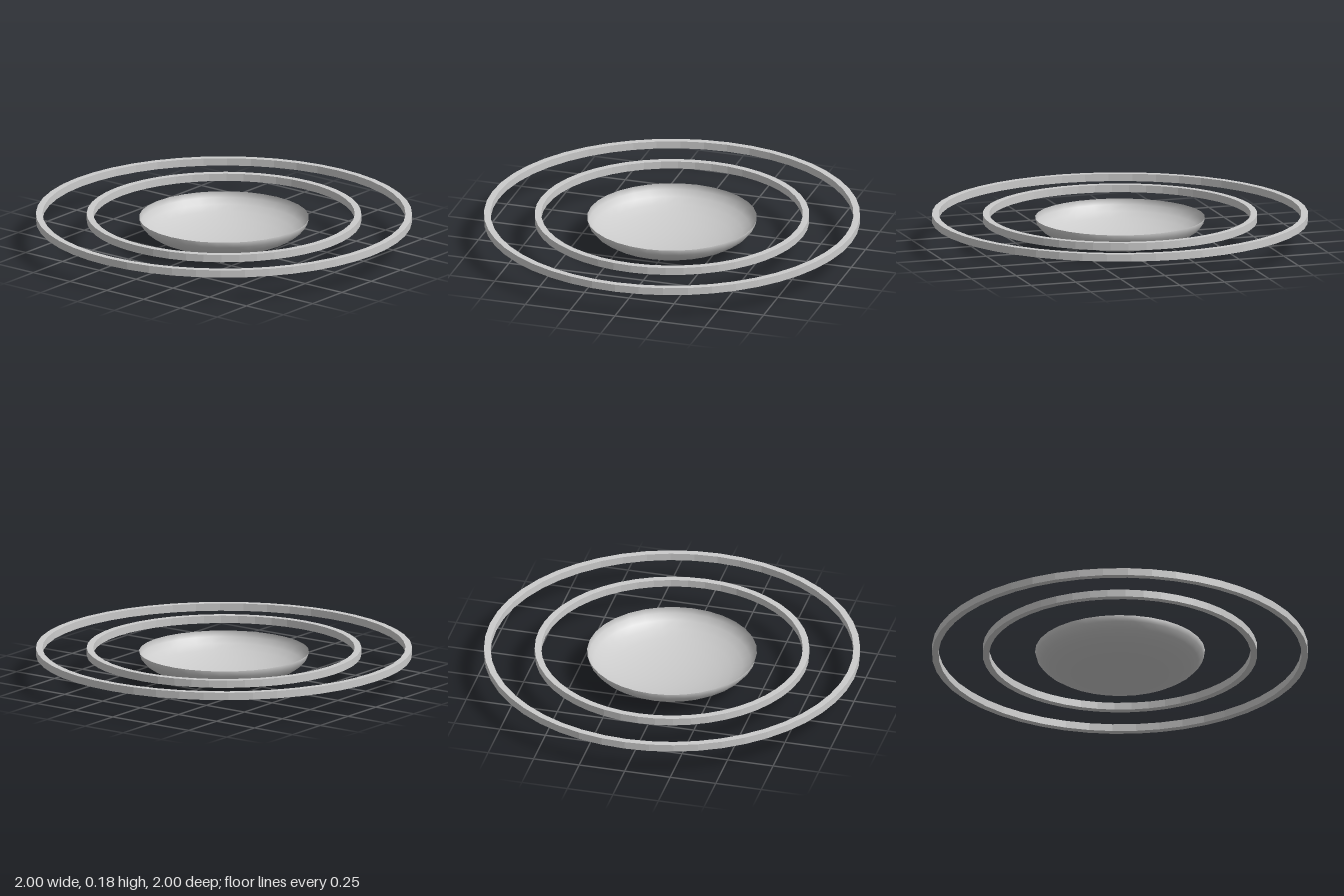
import * as THREE from 'three';

const SIDES = 48;

// Flat band of rectangular section, turned about the y axis
function makeRing(name, inner, outer, bottom, top, material) {
  const section = [
    [inner, bottom], [outer, bottom], [outer, top], [inner, top], [inner, bottom],
  ].map(([x, y]) => new THREE.Vector2(x, y));
  const ring = new THREE.Mesh(new THREE.LatheGeometry(section, SIDES), material);
  ring.name = name;
  return ring;
}

export function createModel() {
  const model = new THREE.Group();
  model.name = 'dishWithRings';

  const ringMaterial = new THREE.MeshStandardMaterial({ color: 0xcccccc, flatShading: true });
  const dishMaterial = new THREE.MeshStandardMaterial({ color: 0xcccccc, side: THREE.DoubleSide });

  // Shallow open dish: lower half of a flattened sphere
  const radius = 0.452, depth = 0.16;
  const dishGeometry = new THREE.SphereGeometry(1, 32, 8, 0, Math.PI * 2, Math.PI / 2, Math.PI / 2);
  dishGeometry.scale(radius, depth, radius);
  dishGeometry.translate(0, depth, 0);
  const dish = new THREE.Mesh(dishGeometry, dishMaterial);
  dish.name = 'dish';
  model.add(dish);

  // Two concentric rings level with the rim of the dish
  model.add(makeRing('innerRing', 0.695, 0.73, 0.14, 0.18, ringMaterial));
  model.add(makeRing('outerRing', 0.965, 1.0, 0.14, 0.18, ringMaterial));

  return model;
}
